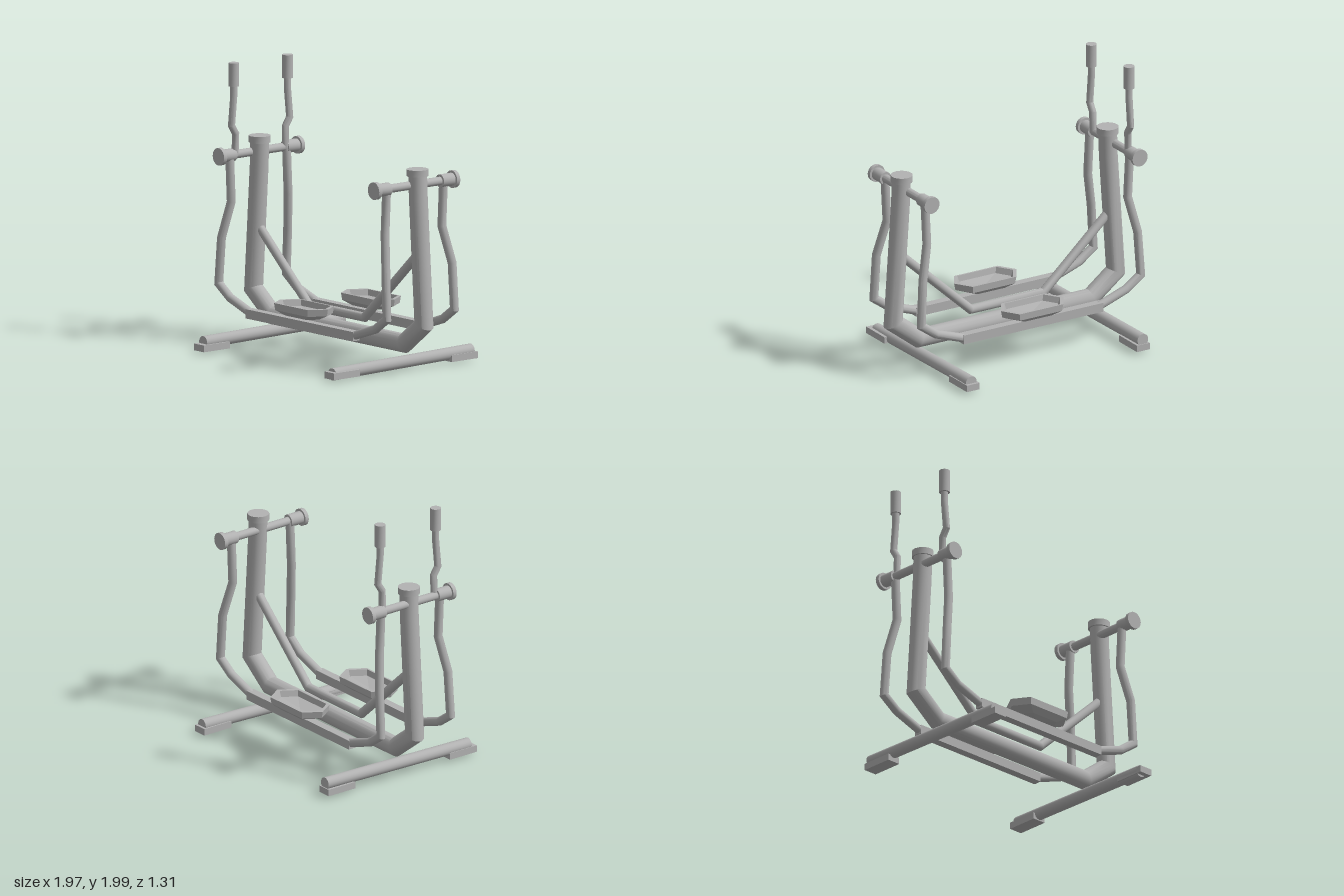
import * as THREE from 'three';
import { toCreasedNormals } from 'three/addons/utils/BufferGeometryUtils.js';

const V = (p) => new THREE.Vector3(...p);
const steel = new THREE.MeshStandardMaterial({ color: 0xb2b2b2 });
steel.name = 'grey steel';

// Round pipe along straight runs, mitred at each bend and capped at both ends
function pipeGeometry(path, r, sides = 20) {
  const pts = path.map(V);
  const dirs = pts.slice(1).map((p, i) => p.clone().sub(pts[i]).normalize());
  const u = new THREE.Vector3(0, 0, 1);
  if (Math.abs(dirs[0].z) > 0.9) u.set(1, 0, 0);
  u.cross(dirs[0]).normalize();
  const v = dirs[0].clone().cross(u);
  let ring = [];
  for (let k = 0; k < sides; k++) {
    const a = (k / sides) * Math.PI * 2;
    ring.push(pts[0].clone().addScaledVector(u, r * Math.cos(a)).addScaledVector(v, r * Math.sin(a)));
  }
  const pos = [];
  const tri = (a, b, c) => pos.push(...a.toArray(), ...b.toArray(), ...c.toArray());
  for (let k = 0; k < sides; k++) tri(pts[0], ring[(k + 1) % sides], ring[k]);
  dirs.forEach((d, i) => {
    const plane = d.clone().add(dirs[i + 1] ?? d).normalize();
    const next = ring.map((q) => {
      const t = pts[i + 1].clone().sub(q).dot(plane) / d.dot(plane);
      return q.clone().addScaledVector(d, t);
    });
    for (let k = 0; k < sides; k++) {
      const m = (k + 1) % sides;
      tri(ring[k], ring[m], next[m]);
      tri(ring[k], next[m], next[k]);
    }
    ring = next;
  });
  const end = pts[pts.length - 1];
  for (let k = 0; k < sides; k++) tri(end, ring[k], ring[(k + 1) % sides]);
  const g = new THREE.BufferGeometry();
  g.setAttribute('position', new THREE.Float32BufferAttribute(pos, 3));
  return toCreasedNormals(g, 0.6);
}

// Stretched six-sided dish for a foot
function trayGeometry() {
  const profile = [[0, 0.32], [0.62, 0.325], [0.96, 0.36], [1, 0.41], [0.89, 0.41], [0.83, 0.368], [0, 0.35]];
  const g = new THREE.LatheGeometry(profile.map(([x, y]) => new THREE.Vector2(x, y)), 6, Math.PI / 2);
  const p = g.attributes.position;
  for (let i = 0; i < p.count; i++) {
    const corner = Math.abs(p.getZ(i)) > 0.01;
    p.setX(i, p.getX(i) * (corner ? 0.36 : 0.257));
    p.setZ(i, p.getZ(i) * 0.141);
  }
  const flat = g.toNonIndexed();
  flat.computeVertexNormals();
  return flat;
}

export function createModel() {
  const model = new THREE.Group();
  model.name = 'ellipticalTrainer';
  const add = (name, geometry, at = [0, 0, 0]) => {
    const mesh = new THREE.Mesh(geometry, steel);
    mesh.name = name;
    mesh.position.set(...at);
    model.add(mesh);
  };
  const pipe = (name, path, r) => add(name, pipeGeometry(path, r));
  const box = (name, size, at) => add(name, new THREE.BoxGeometry(...size), at);

  // Main frame: two posts joined by a low beam, with a brace above it
  pipe('mainFrame', [
    [-0.853, 1.42, 0], [-0.858, 1.25, 0], [-0.918, 0.365, 0], [-0.71, 0.205, 0],
    [0.71, 0.205, 0], [0.918, 0.365, 0], [0.858, 1.25, 0], [0.85, 1.42, 0],
  ], 0.066);
  pipe('brace', [[-0.87, 0.825, 0], [-0.32, 0.328, 0], [0.28, 0.328, 0], [0.87, 0.87, 0]], 0.032);
  for (const x of [-0.853, 0.848]) pipe('postCap', [[x, 1.412, 0], [x, 1.46, 0]], 0.077);

  // Floor tubes and foot pads
  pipe('floorTubeRight', [[-0.737, 0.08, 0.615], [-0.732, 0.1, -0.65]], 0.044);
  pipe('floorTubeLeft', [[0.66, 0.05, 0.62], [0.675, 0.078, -0.635]], 0.044);
  for (const x of [-0.732, 0.672])
    for (const z of [-0.538, 0.538]) box('footPad', [0.105, 0.048, 0.238], [x, 0.046, z]);

  // Axles with bearing sleeves and end discs
  for (const [x, shift] of [[-0.877, -0.014], [0.825, 0.011]]) {
    const y = 1.345;
    pipe('axle', [[x, y, -0.35], [x, y, 0.35]], 0.03);
    for (const s of [-1, 1]) {
      pipe('bearingSleeve', [[x, y, s * 0.235 + shift], [x, y, s * 0.345 + shift]], 0.046);
      pipe('axleDisc', [[x, y, s * 0.342 + shift], [x, y, s * 0.371 + shift]], 0.062);
    }
  }

  for (const s of [-1, 1]) {
    // Swing arms and the foot rail they carry
    const rail = s * 0.307;
    pipe('swingArmLeft', [
      [0.822, 1.345, s * 0.26], [0.805, 1.02, s * 0.26], [0.865, 0.76, s * 0.303],
      [0.882, 0.435, s * 0.309], [0.76, 0.348, rail], [0.53, 0.27, rail],
    ], 0.031);
    pipe('swingArmRight', [
      [-0.87, 1.345, s * 0.26], [-0.853, 1.02, s * 0.26], [-0.908, 0.76, s * 0.303],
      [-0.93, 0.435, s * 0.309], [-0.81, 0.35, rail], [-0.58, 0.27, rail],
    ], 0.031);
    box('footRail', [1.155, 0.066, 0.062], [-0.028, 0.268, rail]);
    add('footTray', trayGeometry(), [-0.028, 0, s * 0.306 - 0.012]);

    // Bent handlebar with grip
    const x = -0.863;
    const z = (d) => s * d - 0.017;
    pipe('handlebar', [
      [x - 0.005, 1.34, z(0.23)], [x, 1.495, z(0.228)], [x, 1.555, z(0.266)],
      [x, 1.77, z(0.245)], [x, 1.86, z(0.245)],
    ], 0.025);
    pipe('grip', [[x, 1.835, z(0.246)], [x, 2, z(0.246)]], 0.038);
  }
  return model;
}
